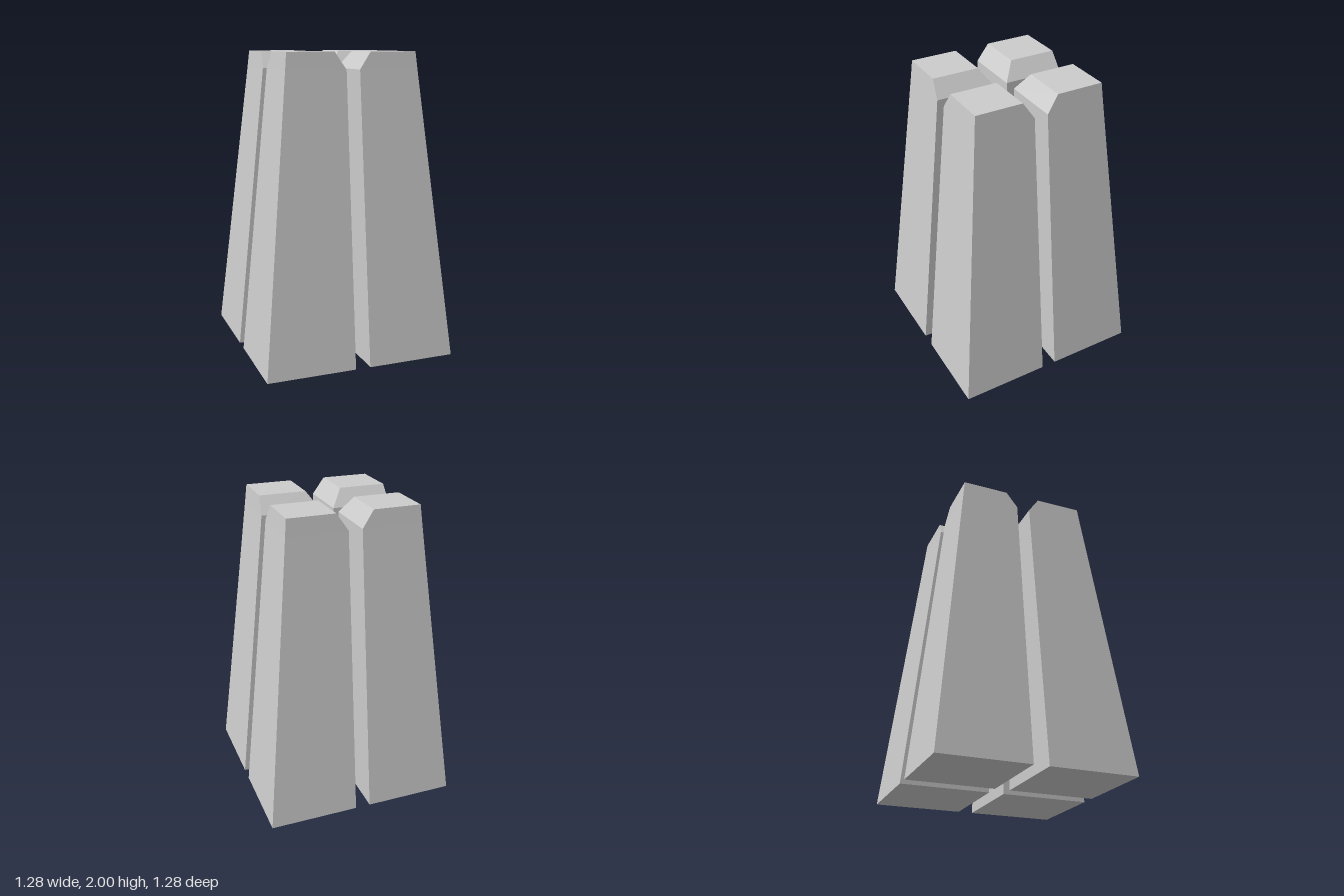
import * as THREE from 'three';

const material = new THREE.MeshStandardMaterial({ color: 0xcccccc, flatShading: true });

// Bottom, shoulder and top of a pillar: height, inner and outer distance from the centre planes
const LEVELS = [
  { y: 0, inner: 0.05, outer: 0.64 },
  { y: 1.89, inner: 0.045, outer: 0.441 },
  { y: 2, inner: 0.12, outer: 0.43 },
];

// Tapered pillar in the quadrant given by the signs sx and sz, chamfered on its inner top edges
function pillarGeometry(sx, sz) {
  const geometry = new THREE.BoxGeometry(2, 2, 2, 1, 2, 1);
  const p = geometry.attributes.position;
  for (let i = 0; i < p.count; i++) {
    const { y, inner, outer } = LEVELS[Math.round(p.getY(i)) + 1];
    const x = sx * (p.getX(i) * sx > 0 ? outer : inner);
    const z = sz * (p.getZ(i) * sz > 0 ? outer : inner);
    p.setXYZ(i, x, y, z);
  }
  const flat = geometry.toNonIndexed();
  flat.computeVertexNormals();
  return flat;
}

export function createModel() {
  const model = new THREE.Group();
  model.name = 'pillarCluster';
  for (const [sx, side] of [[1, 'Left'], [-1, 'Right']]) {
    for (const [sz, end] of [[1, 'front'], [-1, 'back']]) {
      const pillar = new THREE.Mesh(pillarGeometry(sx, sz), material);
      pillar.name = `${end}${side}Pillar`;
      model.add(pillar);
    }
  }
  return model;
}
